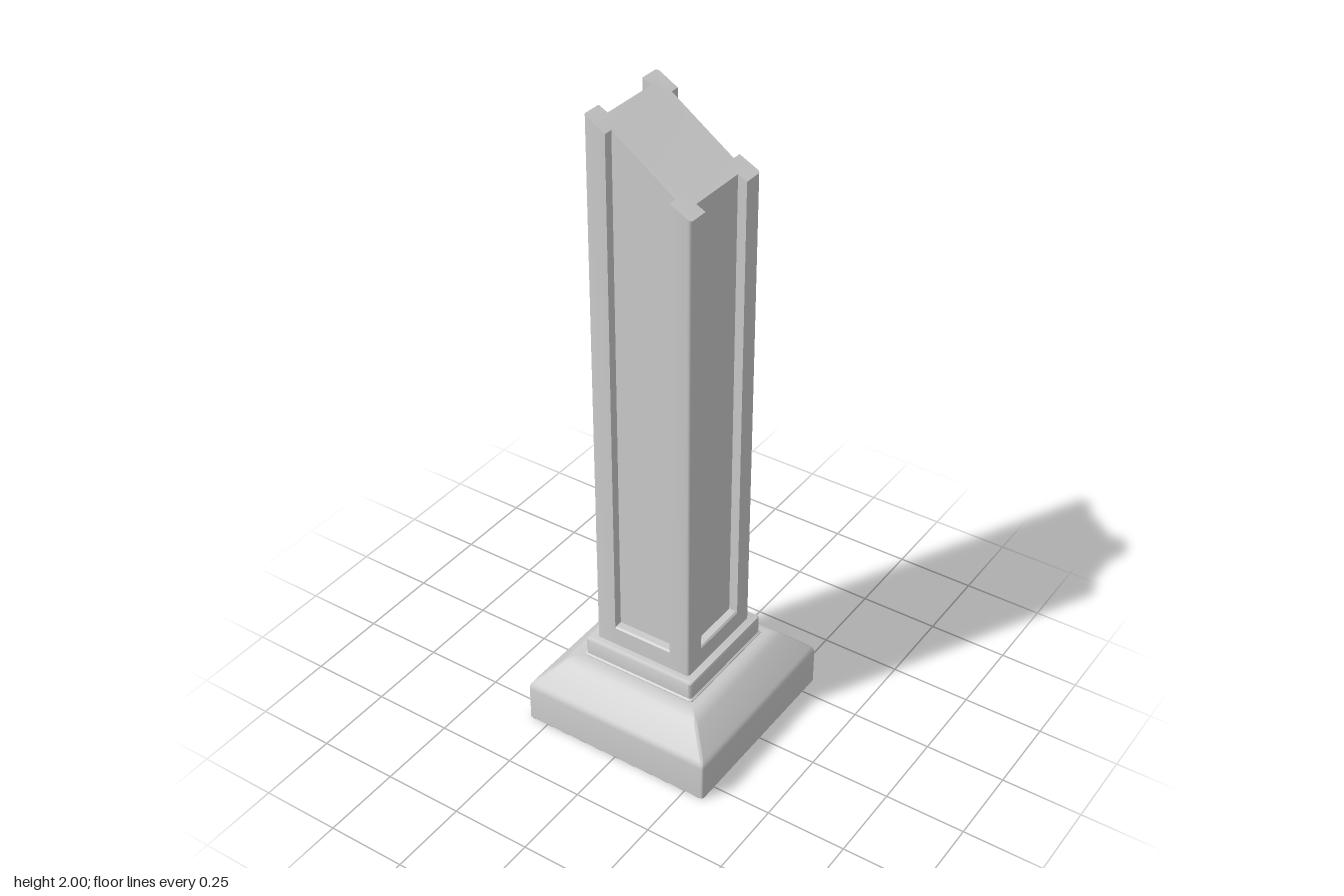
import * as THREE from 'three';
import { toCreasedNormals } from 'three/addons/utils/BufferGeometryUtils.js';

const material = new THREE.MeshStandardMaterial({ color: 0xcccccc });

function part(name, geometry) {
  const mesh = new THREE.Mesh(toCreasedNormals(geometry, 0.5), material);
  mesh.name = name;
  return mesh;
}

// Closed solid lofted through rounded squares given as [half width, height]
function loftSquare(profile, radius, steps = 4) {
  const positions = [], index = [];
  const n = 4 * (steps + 1);
  for (const [half, y] of profile) {
    for (let c = 0; c < 4; c++) {
      const mid = Math.PI / 4 + c * Math.PI / 2;
      const cx = Math.sign(Math.cos(mid)) * (half - radius);
      const cz = Math.sign(Math.sin(mid)) * (half - radius);
      for (let s = 0; s <= steps; s++) {
        const a = (c + s / steps) * Math.PI / 2;
        positions.push(cx + radius * Math.cos(a), y, cz + radius * Math.sin(a));
      }
    }
  }
  const last = (profile.length - 1) * n;
  for (let r = 0; r < last; r += n) {
    for (let i = 0; i < n; i++) {
      const j = (i + 1) % n;
      index.push(r + i, r + n + i, r + j, r + j, r + n + i, r + n + j);
    }
  }
  for (let i = 1; i < n - 1; i++) {
    index.push(0, i, i + 1, last, last + i + 1, last + i);
  }
  const geometry = new THREE.BufferGeometry();
  geometry.setAttribute('position', new THREE.Float32BufferAttribute(positions, 3));
  geometry.setIndex(index);
  return geometry;
}

const HALF = 0.163, CORE = 0.135, PANEL = 0.097;
const SHAFT_BASE = 0.285, SILL = 0.355;

// Height of the sloping broken top at a given x
const SLOPE = [[-HALF, 2], [-0.145, 1.992], [-PANEL, 1.963], [PANEL, 1.826], [HALF, 1.793]];
function topHeight(x) {
  let i = 0;
  while (i < SLOPE.length - 2 && x > SLOPE[i + 1][0]) i++;
  const [x0, y0] = SLOPE[i], [x1, y1] = SLOPE[i + 1];
  return y0 + (y1 - y0) * (x - x0) / (x1 - x0);
}

// Square shaft with a panel recess in each side and rounded corners
function shaftGeometry() {
  const radius = 0.01;
  const points = [];
  for (let c = 0; c < 4; c++) {
    const turn = c * Math.PI / 2;
    const add = (x, y) => points.push(new THREE.Vector2(x, y).rotateAround(new THREE.Vector2(), turn));
    add(CORE, PANEL);
    add(HALF, PANEL);
    for (let s = 0; s <= 4; s++) {
      const a = s * Math.PI / 8;
      add(HALF - radius + radius * Math.cos(a), HALF - radius + radius * Math.sin(a));
    }
    add(PANEL, HALF);
    add(PANEL, CORE);
  }
  const geometry = new THREE.ExtrudeGeometry(new THREE.Shape(points), { depth: 1, bevelEnabled: false });
  geometry.rotateX(-Math.PI / 2);
  const p = geometry.attributes.position;
  for (let i = 0; i < p.count; i++) {
    p.setY(i, p.getY(i) > 0.5 ? topHeight(p.getX(i)) : SHAFT_BASE);
  }
  return geometry;
}

// Block closing the foot of a recess, with a small chamfer on its outer edge
function sillGeometry() {
  const section = new THREE.Shape([
    [CORE - 0.005, SHAFT_BASE], [HALF, SHAFT_BASE], [HALF, SILL - 0.005],
    [HALF - 0.005, SILL], [CORE - 0.005, SILL],
  ].map(([x, y]) => new THREE.Vector2(x, y)));
  return new THREE.ExtrudeGeometry(section, { depth: PANEL * 2, bevelEnabled: false })
    .translate(0, 0, -PANEL);
}

export function createModel() {
  const model = new THREE.Group();
  model.name = 'brokenColumn';

  // Pedestal with sloping shoulders
  model.add(part('pedestal', loftSquare([
    [0.312, 0], [0.315, 0.004], [0.315, 0.118], [0.313, 0.129], [0.306, 0.140],
    [0.246, 0.201], [0.234, 0.213], [0.222, 0.221], [0.208, 0.225],
  ], 0.009)));

  // Plinth with a fine lip at its foot
  model.add(part('plinth', loftSquare([
    [0.193, 0.222], [0.193, 0.228], [0.188, 0.232],
    [0.188, 0.284], [0.186, 0.288], [0.182, 0.29],
  ], 0.01)));

  model.add(part('shaft', shaftGeometry()));

  for (let i = 0; i < 4; i++) {
    const sill = part('panelSill', sillGeometry());
    sill.rotation.y = i * Math.PI / 2;
    model.add(sill);
  }
  return model;
}
